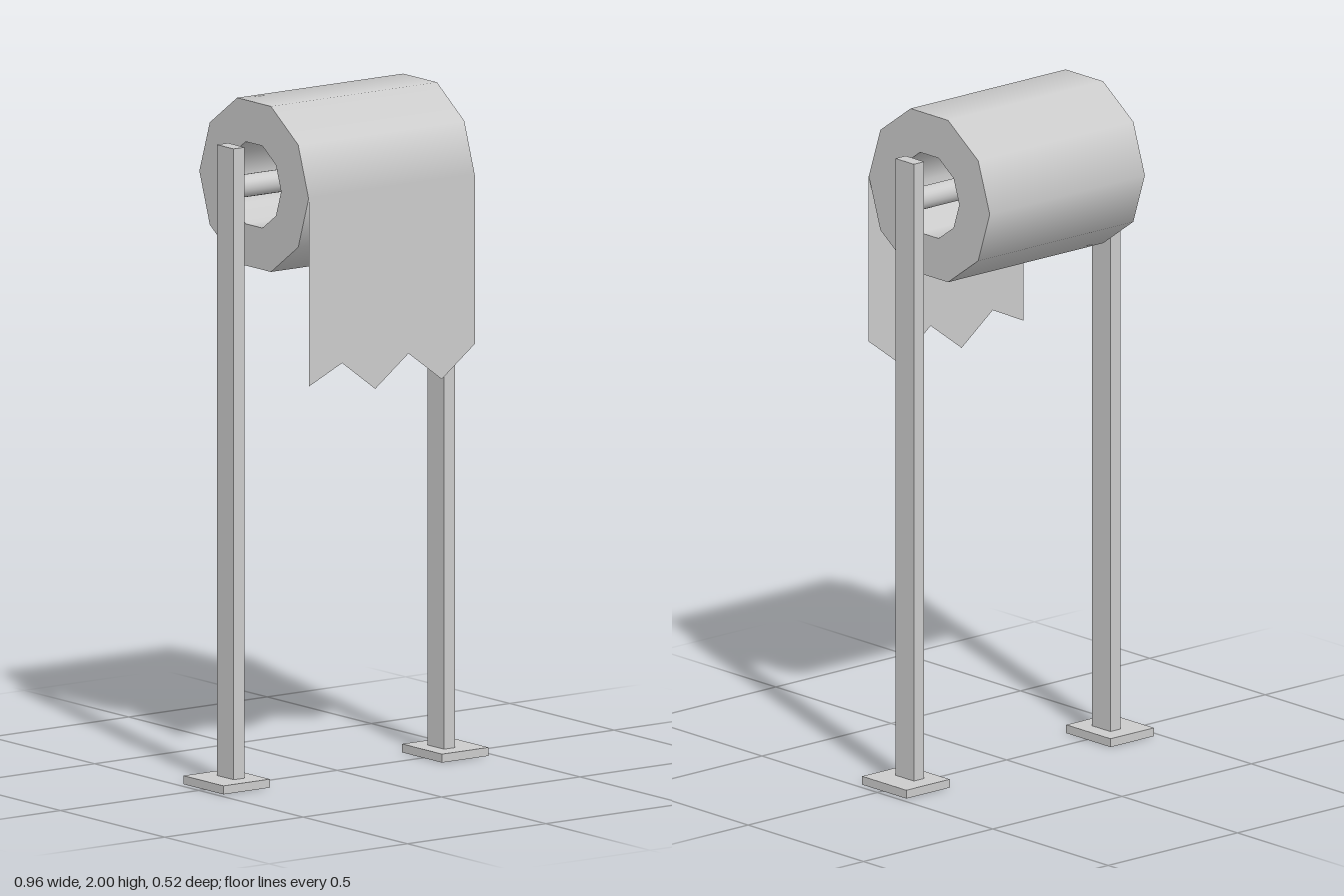
import * as THREE from 'three';

export function createModel() {
  const model = new THREE.Group();
  const solid = new THREE.MeshStandardMaterial({ color: 0xcccccc });
  const thin = new THREE.MeshStandardMaterial({ color: 0xcccccc, side: THREE.DoubleSide });

  const add = (parent, name, geometry, material, x, y, z) => {
    const mesh = new THREE.Mesh(geometry, material);
    mesh.name = name;
    mesh.position.set(x, y, z);
    parent.add(mesh);
    return mesh;
  };

  const axisY = 1.757, sides = 10, halfWidth = 0.3;
  const outer = 0.262, inner = 0.13;

  // Ten-sided hollow roll: smooth outer wall, core wall and two flat ends
  const roll = new THREE.Group();
  roll.name = 'paperRoll';
  roll.position.set(0, axisY, -0.001);
  roll.scale.y = 0.977;
  model.add(roll);
  const wall = (r) => new THREE.CylinderGeometry(r, r, halfWidth * 2, sides, 1, true).rotateZ(Math.PI / 2);
  add(roll, 'rollOuterWall', wall(outer), solid, 0, 0, 0);
  add(roll, 'rollCoreWall', wall(inner), thin, 0, 0, 0);
  for (const s of [-1, 1]) {
    const ring = new THREE.RingGeometry(inner, outer, sides).rotateY(s * Math.PI / 2);
    add(roll, s > 0 ? 'rollLeftEnd' : 'rollRightEnd', ring, solid, s * halfWidth, 0, 0);
  }

  // Hanging sheet with a torn zigzag edge
  const sheet = new THREE.Shape([
    [-0.3, axisY], [-0.3, 1.205], [-0.18, 1.26], [-0.06, 1.17],
    [0.06, 1.26], [0.18, 1.17], [0.3, 1.26], [0.3, axisY],
  ].map(([x, y]) => new THREE.Vector2(x, y)));
  add(model, 'hangingSheet', new THREE.ShapeGeometry(sheet), thin, 0, 0, 0.262);

  // Rod through the roll
  const rod = new THREE.CylinderGeometry(0.033, 0.033, 0.74, 24).rotateZ(Math.PI / 2);
  add(model, 'rod', rod, solid, 0, axisY, -0.007);

  // Mirrored posts and foot plates
  for (const s of [-1, 1]) {
    const side = s > 0 ? 'left' : 'right';
    add(model, side + 'Post', new THREE.BoxGeometry(0.04, 1.86, 0.08), solid, s * 0.38, 0.95, -0.006);
    add(model, side + 'Foot', new THREE.BoxGeometry(0.168, 0.025, 0.192), solid, s * 0.395, 0.0125, -0.006);
  }

  return model;
}
